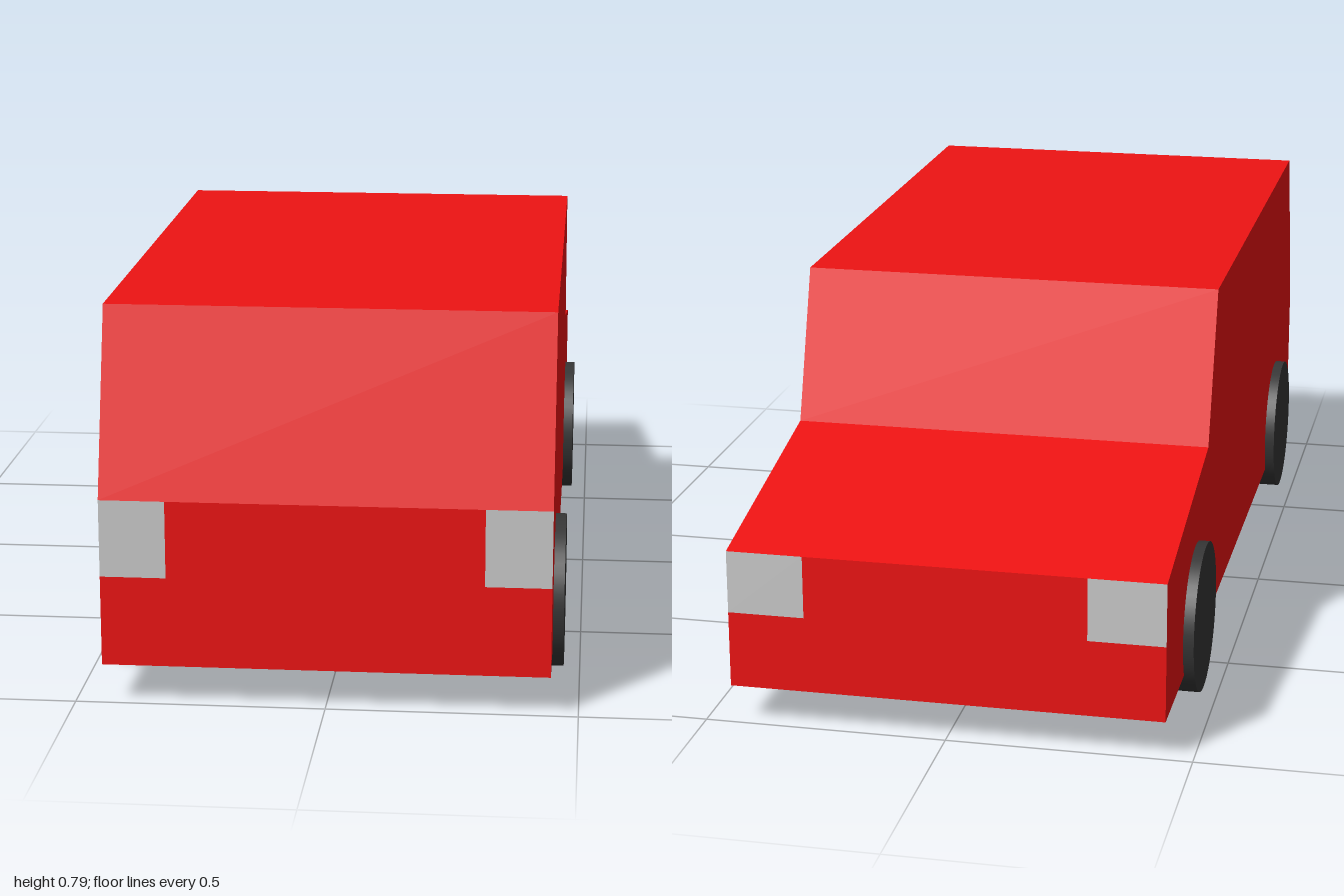
import * as THREE from 'three';

const W = 0.445; // half width of the body
const FLOOR = 0.08;
// Side profile as [z, y], from the front bottom over the roof to the rear bottom
const PROFILE = [[1, FLOOR], [1, 0.42], [0.895, 0.79], [-0.37, 0.79], [-0.475, 0.475], [-1, 0.37], [-1, FLOOR]];

const paint = new THREE.MeshStandardMaterial({ color: 0xee1313, side: THREE.DoubleSide });
const lamp = new THREE.MeshStandardMaterial({ color: 0xcccccc, side: THREE.DoubleSide });
const rubber = new THREE.MeshStandardMaterial({ color: 0x363636 });

function add(parent, name, geometry, material) {
  const mesh = new THREE.Mesh(geometry, material);
  mesh.name = name;
  parent.add(mesh);
  return mesh;
}

function flatShape(points) {
  return new THREE.ShapeGeometry(new THREE.Shape(points.map(([x, y]) => new THREE.Vector2(x, y))));
}

// Upright end panel with its two upper corners filled by flush lights
function endPanel(name, top, lightW, lightH) {
  const group = new THREE.Group();
  group.name = name;
  const inner = W - lightW, low = top - lightH;
  add(group, name + 'Panel', flatShape([
    [-W, FLOOR], [W, FLOOR], [W, low], [inner, low],
    [inner, top], [-inner, top], [-inner, low], [-W, low],
  ]), paint);
  for (const s of [-1, 1]) {
    const light = add(group, name + 'Light', new THREE.PlaneGeometry(lightW, lightH), lamp);
    light.position.set(s * (W - lightW / 2), top - lightH / 2, 0);
  }
  return group;
}

export function createModel() {
  const model = new THREE.Group();
  model.name = 'car';

  // Body shell, open underneath
  const body = new THREE.Group();
  body.name = 'body';
  model.add(body);
  for (const s of [-1, 1]) {
    const side = flatShape(PROFILE.map(([z, y]) => [-s * z, y]));
    side.rotateY(s * Math.PI / 2).translate(s * W, 0, 0);
    add(body, s > 0 ? 'leftSide' : 'rightSide', side, paint);
  }

  // Panels spanning the width along the profile
  ['frontWindow', 'roof', 'rearWindow', 'rearDeck'].forEach((name, i) => {
    const [z0, y0] = PROFILE[i + 1], [z1, y1] = PROFILE[i + 2];
    const panel = new THREE.PlaneGeometry(2 * W, Math.hypot(z1 - z0, y1 - y0));
    panel.rotateX(Math.atan2(z1 - z0, y1 - y0)).translate(0, (y0 + y1) / 2, (z0 + z1) / 2);
    add(body, name, panel, paint);
  });

  // Ends with lights
  const front = endPanel('front', 0.42, 0.131, 0.157);
  front.position.z = 1;
  const rear = endPanel('rear', 0.37, 0.157, 0.131);
  rear.position.z = -1;
  rear.rotation.y = Math.PI;
  body.add(front, rear);

  // Wheels
  const wheel = new THREE.CylinderGeometry(0.157, 0.157, 0.094, 48).rotateZ(Math.PI / 2);
  for (const [end, z] of [['front', 0.685], ['rear', -0.63]]) {
    for (const s of [-1, 1]) {
      add(model, end + (s > 0 ? 'Left' : 'Right') + 'Wheel', wheel, rubber).position.set(s * 0.42, 0.157, z);
    }
  }
  return model;
}
